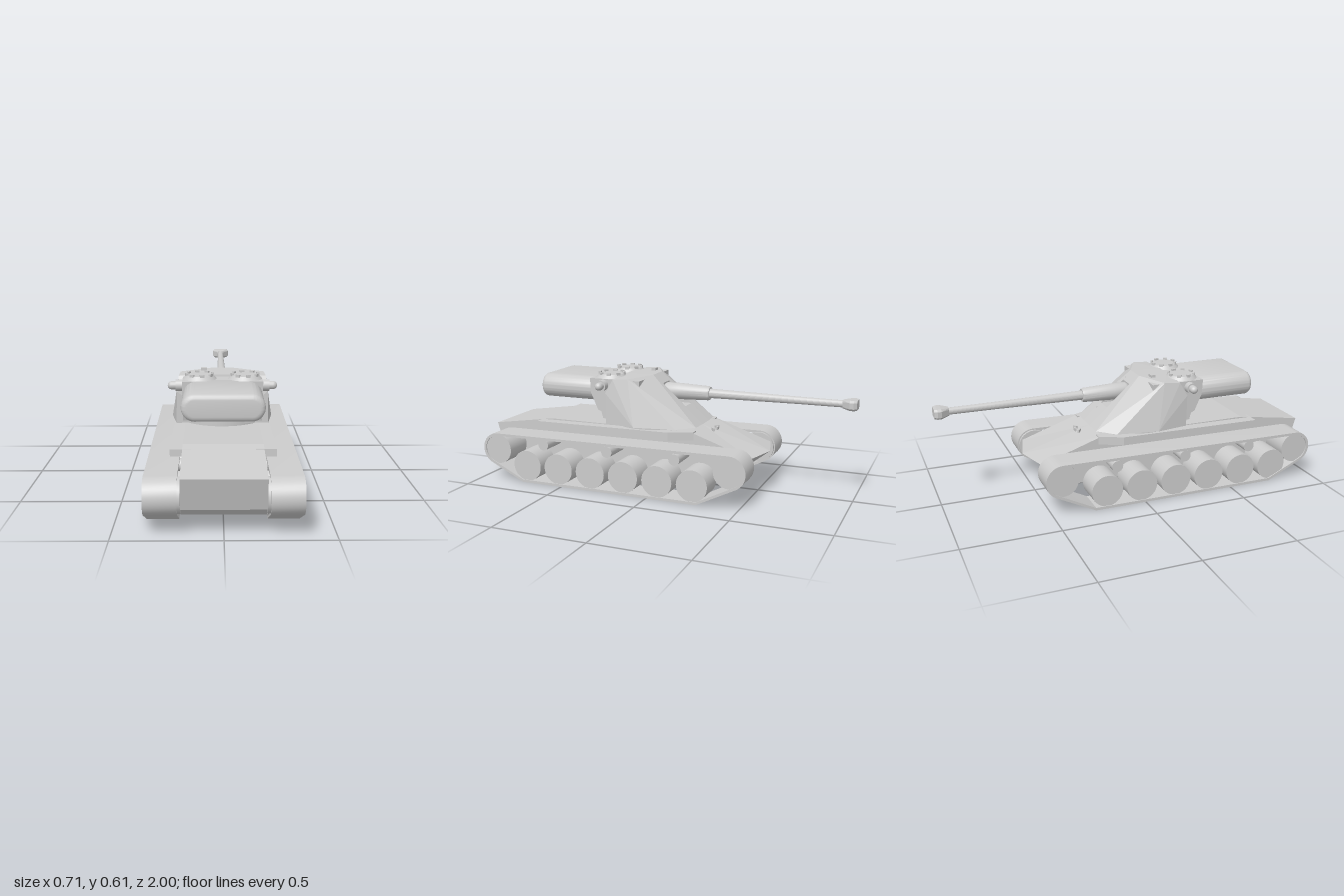
import * as THREE from 'three';
import { ConvexGeometry } from 'three/addons/geometries/ConvexGeometry.js';
import { toCreasedNormals } from 'three/addons/utils/BufferGeometryUtils.js';

const mat = new THREE.MeshStandardMaterial({ color: 0xcccccc });
const flatMat = new THREE.MeshStandardMaterial({ color: 0xcccccc, flatShading: true });

export function createModel() {
  const root = new THREE.Group();

  function add(name, geo, x = 0, y = 0, z = 0, m = mat, parent = root) {
    const mesh = new THREE.Mesh(geo, m);
    mesh.name = name;
    mesh.position.set(x, y, z);
    parent.add(mesh);
    return mesh;
  }
  // Side profile of [z, y] points, extruded across x and centred on x = 0
  function sideExtrude(points, width, hole, steps = 1) {
    const shape = new THREE.Shape(points.map(p => new THREE.Vector2(...p)));
    if (hole) shape.holes.push(new THREE.Path(hole.map(p => new THREE.Vector2(...p))));
    return new THREE.ExtrudeGeometry(shape, { depth: width, steps, bevelEnabled: false })
      .translate(0, 0, -width / 2).rotateY(-Math.PI / 2);
  }
  const xCylinder = (r, len, seg = 32) => new THREE.CylinderGeometry(r, r, len, seg).rotateZ(Math.PI / 2);
  const convex = pts => new ConvexGeometry(pts.map(p => new THREE.Vector3(...p)));
  // Lathe around the z axis from [radius, z] points
  const zLathe = (pts, seg = 24) => toCreasedNormals(
    new THREE.LatheGeometry(pts.map(p => new THREE.Vector2(...p)), seg).rotateX(Math.PI / 2), 0.5);

  // Hull, with its front drawn into a shallow prow
  const hull = sideExtrude([
    [1.0, 0.278], [0.64, 0.333], [-0.18, 0.333], [-0.56, 0.222],
    [-0.39, 0.09], [0.92, 0.09], [0.955, 0.125],
  ], 0.38, null, 2);
  const hp = hull.attributes.position;
  for (let i = 0; i < hp.count; i++) {
    if (hp.getZ(i) < -0.3) hp.setZ(i, hp.getZ(i) + 0.05 * Math.abs(hp.getX(i)) / 0.19);
  }
  hull.computeVertexNormals();
  add('hull', hull, 0, 0, 0, flatMat);

  // Side sponsons above the tracks
  for (const s of [1, -1]) {
    const pts = [];
    for (const y of [0.29, 0.333]) {
      for (const [x, z] of [[0.15, 0.7], [0.247, 0.7], [0.247, -0.08], [0.19, -0.2], [0.15, -0.2]]) {
        pts.push([s * x, y === 0.333 && z > 0.6 ? 0.325 : y, z]);
      }
    }
    add('sponson', convex(pts), 0, 0, 0, flatMat);
  }

  // Tracks, wheels and rollers
  const REAR = [0.895, 0.172], FRONT = [-0.445, 0.185];
  function trackLoop(e) {
    const pts = [];
    const arc = (c, a0, a1) => {
      for (let i = 0; i <= 14; i++) {
        const a = THREE.MathUtils.degToRad(a0 + (a1 - a0) * i / 14);
        pts.push([c[0] + (0.075 + e) * Math.cos(a), c[1] + (0.075 + e) * Math.sin(a)]);
      }
    };
    arc(FRONT, 90, 243.6);
    pts.push([-0.275, 0.014 - e], [0.74, 0.014 - e]);
    arc(REAR, -65, 90);
    return pts;
  }
  for (const s of [1, -1]) {
    const gear = new THREE.Group();
    gear.name = s > 0 ? 'leftRunningGear' : 'rightRunningGear';
    root.add(gear);
    add('track', toCreasedNormals(sideExtrude(trackLoop(0.014), 0.15, trackLoop(0)), 0.4), s * 0.28, 0, 0, mat, gear);
    add('rearWheel', xCylinder(0.082, 0.158), s * 0.27, REAR[1], REAR[0], mat, gear);
    add('frontWheel', xCylinder(0.082, 0.158), s * 0.27, FRONT[1], FRONT[0], mat, gear);
    const shift = s > 0 ? 0 : 0.04;
    for (let i = 0; i < 6; i++) {
      add('roadWheel', xCylinder(0.084, 0.145), s * 0.277, 0.095, 0.71 - i * 0.192 + shift, mat, gear);
    }
    for (let i = 0; i < 3; i++) {
      add('returnRoller', xCylinder(0.03, 0.158), s * 0.27, 0.222, 0.605 - i * 0.38, mat, gear);
    }
  }

  // Turret ring and base
  add('turretRing', new THREE.CylinderGeometry(0.23, 0.23, 0.035, 40), 0, 0.342, 0.08);

  // Armoured turret sides
  for (const s of [1, -1]) {
    add('turretSide', convex([
      [0.045, 0.345, -0.2], [0.14, 0.345, -0.195], [0.225, 0.345, -0.11], [0.262, 0.345, 0.11], [0.235, 0.345, 0.28],
      [0.045, 0.345, 0.28], [0.045, 0.595, 0.08], [0.06, 0.595, 0.08], [0.215, 0.59, 0.16],
      [0.222, 0.583, 0.245], [0.23, 0.51, 0.285], [0.045, 0.59, 0.25],
    ].map(([x, y, z]) => [s * x, y, z])), 0, 0, 0, flatMat);
  }
  // Middle of the turret, with the open gun slot
  add('turretMiddle', sideExtrude([
    [-0.2, 0.345], [-0.1, 0.434], [0.03, 0.434], [0.03, 0.55], [0.08, 0.595],
    [0.25, 0.59], [0.28, 0.345],
  ], 0.092), 0, 0, 0, flatMat);
  // Rear body between the sides
  add('turretRear', sideExtrude([
    [0.39, 0.58], [0.385, 0.5], [0.345, 0.41], [0.325, 0.402], [0.315, 0.365], [0.1, 0.365], [0.1, 0.58],
  ], 0.4), 0, 0, 0, flatMat);

  // Rounded rear bustle
  const b = 0.025, w = 0.195 - b, h = 0.065 - b, r = h - 0.001;
  const bs = new THREE.Shape();
  bs.absarc(w - r, h - r, r, 0, Math.PI / 2);
  bs.absarc(-w + r, h - r, r, Math.PI / 2, Math.PI);
  bs.absarc(-w + r, -h + r, r, Math.PI, Math.PI * 1.5);
  bs.absarc(w - r, -h + r, r, Math.PI * 1.5, Math.PI * 2);
  add('bustle', toCreasedNormals(new THREE.ExtrudeGeometry(bs, {
    depth: 0.335, bevelThickness: b, bevelSize: b, bevelSegments: 4, curveSegments: 8,
  }), 0.6), 0, 0.515, 0.34);

  // Side sight housings
  for (const s of [1, -1]) {
    add('sightBase', xCylinder(0.029, 0.05, 20), s * 0.21, 0.547, 0.31);
    add('sightHead', new THREE.CapsuleGeometry(0.021, 0.05, 6, 16).rotateZ(Math.PI / 2), s * 0.229, 0.547, 0.31);
  }

  // Cupolas with a ring of periscopes
  for (const s of [1, -1]) {
    const cupola = new THREE.Group();
    cupola.name = 'cupola';
    cupola.position.set(s * 0.114, 0.58, 0.3);
    root.add(cupola);
    add('cupolaDome', new THREE.CylinderGeometry(0.068, 0.085, 0.02, 32), 0, 0.01, 0, mat, cupola);
    for (let i = 0; i < 8; i++) {
      const a = i * Math.PI / 4 + 0.2;
      add('periscope', new THREE.BoxGeometry(0.022, 0.014, 0.012),
        0.066 * Math.sin(a), 0.022, 0.066 * Math.cos(a), mat, cupola).rotation.y = a;
    }
  }
  add('roofSight', new THREE.BoxGeometry(0.032, 0.018, 0.025), -0.095, 0.597, 0.14);

  // Small fittings in an arc on the front plate
  for (const a of [-0.7, 0, 0.7]) {
    add('frontFitting', new THREE.BoxGeometry(0.025, 0.016, 0.01),
      0.05 * Math.sin(a), 0.318, -0.215 - 0.05 * Math.cos(a)).rotation.y = a;
  }

  // Gun: sleeve and tapering barrel
  add('gunSleeve', zLathe([[0, -0.225], [0.034, -0.225], [0.038, -0.215], [0.044, -0.05], [0.044, 0.02], [0.03, 0.05], [0, 0.05]]), 0, 0.505, 0);
  add('barrel', zLathe([[0, -0.96], [0.018, -0.96], [0.019, -0.7], [0.025, -0.22], [0, -0.2]]), 0, 0.505, 0);
  // Muzzle brake, wide and flat
  const brake = [];
  for (const [z, hw, hh] of [[-0.925, 0.018, 0.02], [-0.965, 0.048, 0.026], [-0.985, 0.05, 0.026], [-1, 0.038, 0.024]]) {
    for (const sx of [1, -1]) for (const sy of [1, -1]) {
      brake.push([sx * hw, sy * hh * 0.6, z], [sx * hw * 0.75, sy * hh, z]);
    }
  }
  add('muzzleBrake', convex(brake), 0, 0.505, 0, flatMat);

  return root;
}
